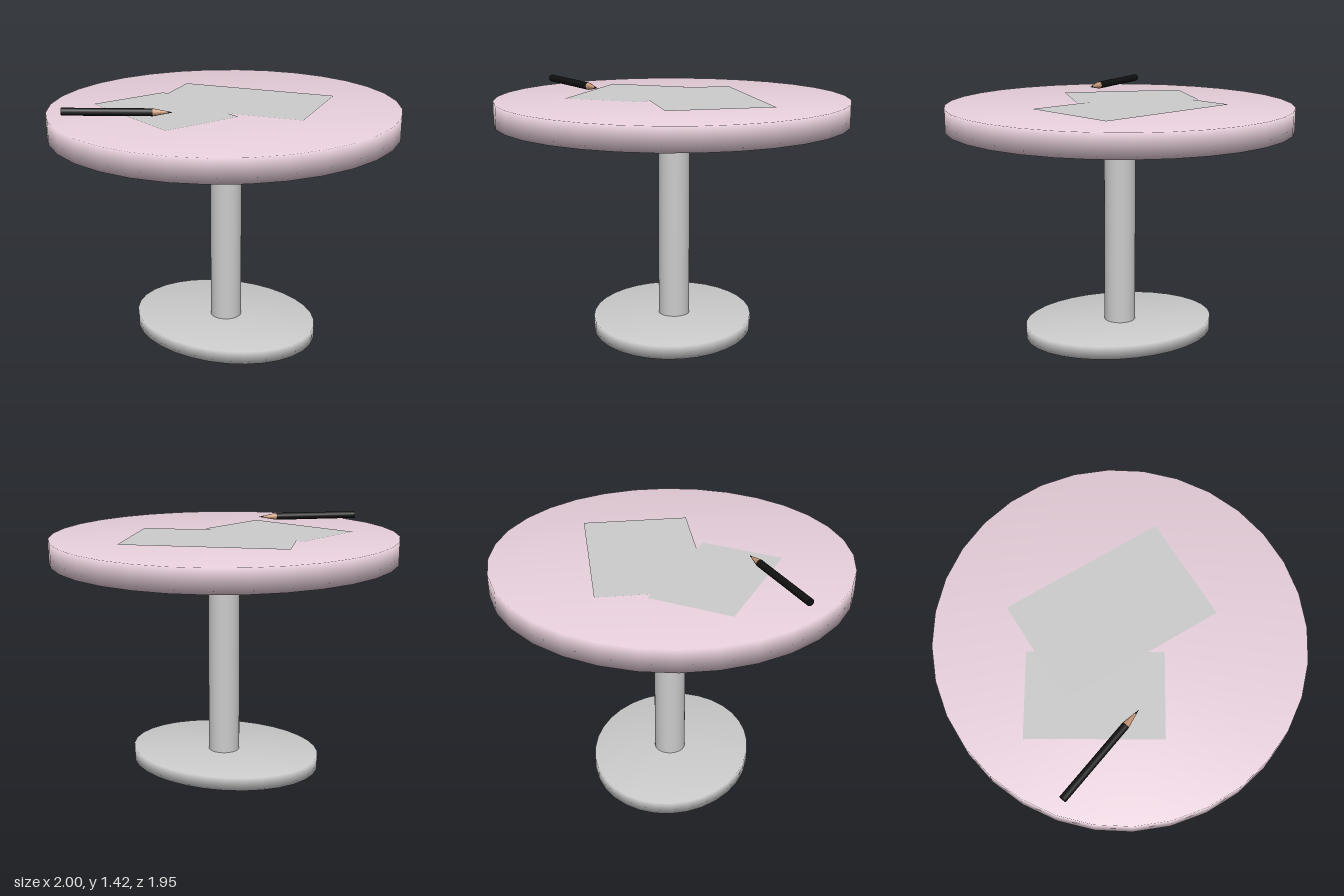
import * as THREE from 'three';
import { mergeVertices } from 'three/addons/utils/BufferGeometryUtils.js';

const material = (color, extra = {}) => new THREE.MeshStandardMaterial({ color, ...extra });

function addMesh(parent, name, geometry, mat, x = 0, y = 0, z = 0) {
  const mesh = new THREE.Mesh(geometry, mat);
  mesh.name = name;
  mesh.position.set(x, y, z);
  parent.add(mesh);
  return mesh;
}

// Elliptical slab whose normals blend softly over the rim
function slab(rx, rz, height, sides) {
  const geo = new THREE.CylinderGeometry(1, 1, height, sides);
  geo.scale(rx, 1, rz);
  geo.deleteAttribute('uv');
  geo.deleteAttribute('normal');
  const merged = mergeVertices(geo, 1e-4);
  merged.computeVertexNormals();
  return merged;
}

export function createModel() {
  const model = new THREE.Group();
  model.name = 'table';
  const grey = material(0xcccccc);
  const pink = material(0xe8d0dc);
  const paper = material(0xcccccc, { side: THREE.DoubleSide });

  // Table: oval foot, round column, round top
  addMesh(model, 'base', slab(0.46, 0.562, 0.075, 32), grey, 0, 0.0375, 0);
  addMesh(model, 'column', new THREE.CylinderGeometry(0.09, 0.09, 1.16, 32), grey, 0.01, 0.65, 0);
  addMesh(model, 'tabletop', slab(1, 0.975, 0.13, 32), pink, 0, 1.28, 0);

  // Two overlapping paper sheets: width, length, x, y, z, turn
  const sheets = [
    [0.47, 0.716, -0.278, 1.348, -0.205, -0.258],
    [0.6, 0.922, 0.155, 1.349, -0.005, 0.295],
  ];
  for (const [w, l, x, y, z, turn] of sheets) {
    const geo = new THREE.PlaneGeometry(w, l).rotateX(-Math.PI / 2);
    addMesh(model, 'paperSheet', geo, paper, x, y, z).rotation.y = turn;
  }

  // Pencil, built along +y from its tail, then laid towards its tip
  const pencil = new THREE.Group();
  pencil.name = 'pencil';
  const black = material(0x111111);
  const r = 0.021;
  addMesh(pencil, 'pencilBody', new THREE.CylinderGeometry(r, r, 0.485, 12), black, 0, 0.2425, 0);
  addMesh(pencil, 'pencilWood', new THREE.CylinderGeometry(0.006, r, 0.077, 12), material(0xc89878), 0, 0.5235, 0);
  addMesh(pencil, 'pencilLead', new THREE.ConeGeometry(0.006, 0.028, 12), black, 0, 0.576, 0);
  const tail = new THREE.Vector3(-0.775, 1.395, -0.49);
  const tip = new THREE.Vector3(-0.425, 1.395, -0.012);
  pencil.position.copy(tail);
  pencil.quaternion.setFromUnitVectors(new THREE.Vector3(0, 1, 0), tip.sub(tail).normalize());
  model.add(pencil);

  return model;
}
